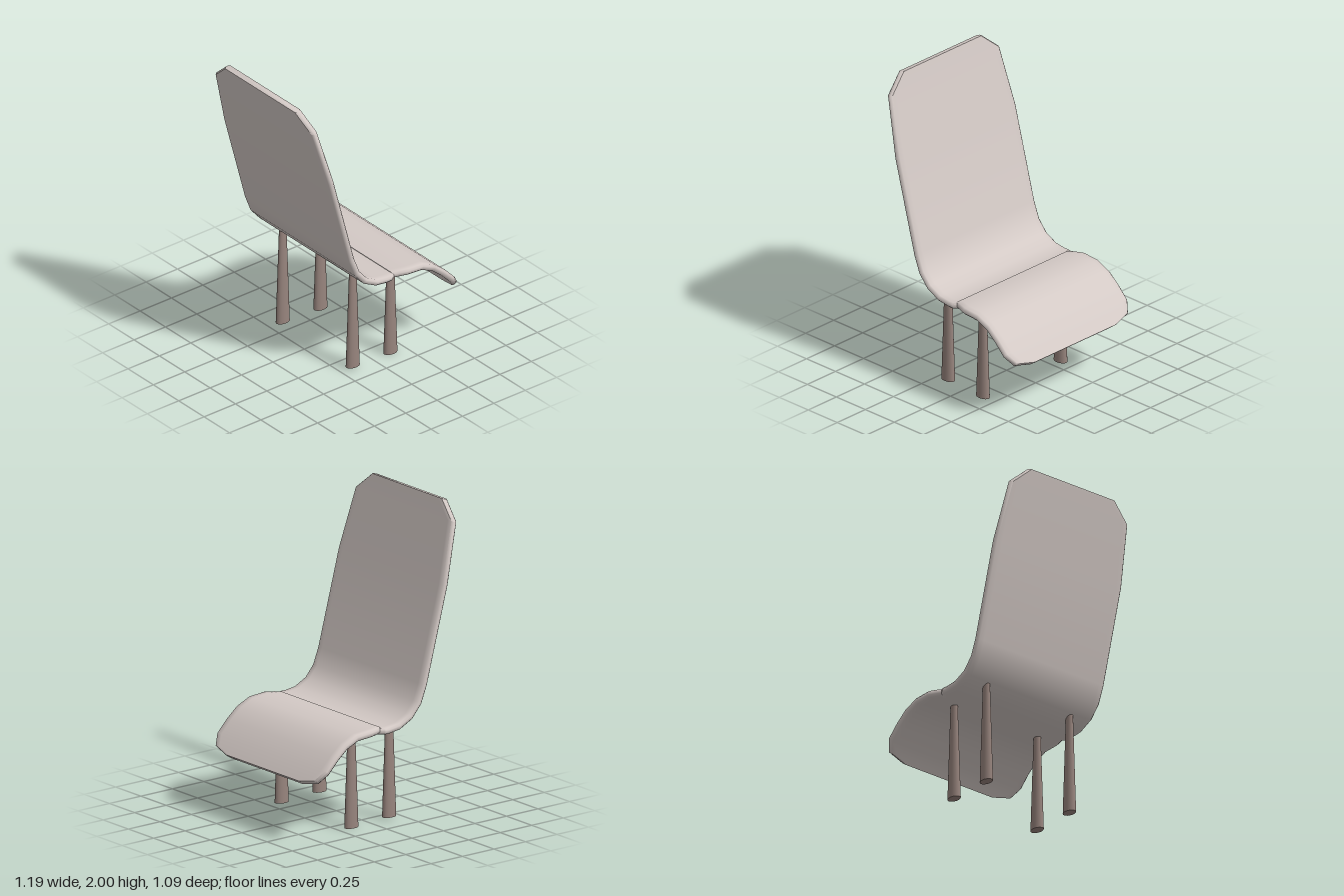
import * as THREE from 'three';
import { toCreasedNormals } from 'three/addons/utils/BufferGeometryUtils.js';

const shellMaterial = new THREE.MeshStandardMaterial({ color: 0xd3c9c5 });
shellMaterial.name = 'pale shell';
const legMaterial = new THREE.MeshStandardMaterial({ color: 0x97847d });
legMaterial.name = 'brown leg';

// Sweeps a soft-edged slab along stations of [x, y, halfWidth].
function slab(stations, half) {
  const positions = [], index = [];
  const ring = 12;
  stations.forEach(([x, y, w], i) => {
    // average the directions of the neighbouring segments
    const dir = new THREE.Vector2();
    for (const k of [i - 1, i]) {
      if (k < 0 || k + 1 >= stations.length) continue;
      const a = stations[k], b = stations[k + 1];
      dir.add(new THREE.Vector2(b[0] - a[0], b[1] - a[1]).normalize());
    }
    dir.normalize();
    const section = [
      [-w, 0.4], [-w + 0.012, 1], [-w + 0.05, 1], [w - 0.05, 1], [w - 0.012, 1], [w, 0.4],
      [w, -0.4], [w - 0.012, -1], [w - 0.05, -1], [-w + 0.05, -1], [-w + 0.012, -1], [-w, -0.4],
    ];
    for (const [z, n] of section) {
      positions.push(x - dir.y * n * half, y + dir.x * n * half, z);
    }
  });
  const last = (stations.length - 1) * ring;
  for (let s = 0; s < last; s += ring) {
    for (let j = 0; j < ring; j++) {
      const a = s + j, b = s + (j + 1) % ring;
      index.push(a, b, a + ring, b, b + ring, a + ring);
    }
  }
  // end caps
  for (let j = 1; j < ring - 1; j++) {
    index.push(0, j + 1, j, last, last + j, last + j + 1);
  }
  const geometry = new THREE.BufferGeometry();
  geometry.setAttribute('position', new THREE.Float32BufferAttribute(positions, 3));
  geometry.setIndex(index);
  return toCreasedNormals(geometry, 0.9);
}

export function createModel() {
  const chair = new THREE.Group();
  chair.name = 'chair';

  const add = (name, geometry, material, x, y, z) => {
    const mesh = new THREE.Mesh(geometry, material);
    mesh.name = name;
    mesh.position.set(x, y, z);
    chair.add(mesh);
    return mesh;
  };

  // tall reclined back, curving into the rear of the seat
  const back = [
    [-0.578, 1.993, 0.355], [-0.55, 1.88, 0.485], [-0.448, 1.5, 0.525],
    [-0.284, 0.885, 0.525], [-0.241, 0.775, 0.525], [-0.175, 0.698, 0.525],
    [-0.085, 0.652, 0.525], [0, 0.641, 0.525], [0.035, 0.642, 0.525], [0.08, 0.645, 0.49],
  ];
  add('backrest', slab(back, 0.02), shellMaterial, 0, 0, -0.005);

  // front of the seat, rolling over and down
  const seat = [
    [0.05, 0.646, 0.5], [0.09, 0.65, 0.52], [0.15, 0.653, 0.543],
    [0.262, 0.645, 0.543], [0.353, 0.605, 0.543], [0.43, 0.541, 0.543],
    [0.504, 0.464, 0.543], [0.552, 0.404, 0.5], [0.573, 0.377, 0.37],
  ];
  add('seatFront', slab(seat, 0.021), shellMaterial, 0, 0, -0.003);

  // tapered oval legs
  for (const [name, x, bottom, top] of [['rear', -0.155, 0.014, 0.675], ['front', 0.145, 0, 0.64]]) {
    for (const [side, z] of [['Left', 0.36], ['Right', -0.33]]) {
      const leg = new THREE.CylinderGeometry(0.027, 0.05, top - bottom, 20);
      leg.scale(1, 1, 0.66);
      add(`${name}Leg${side}`, leg, legMaterial, x, (top + bottom) / 2, z);
    }
  }
  return chair;
}
